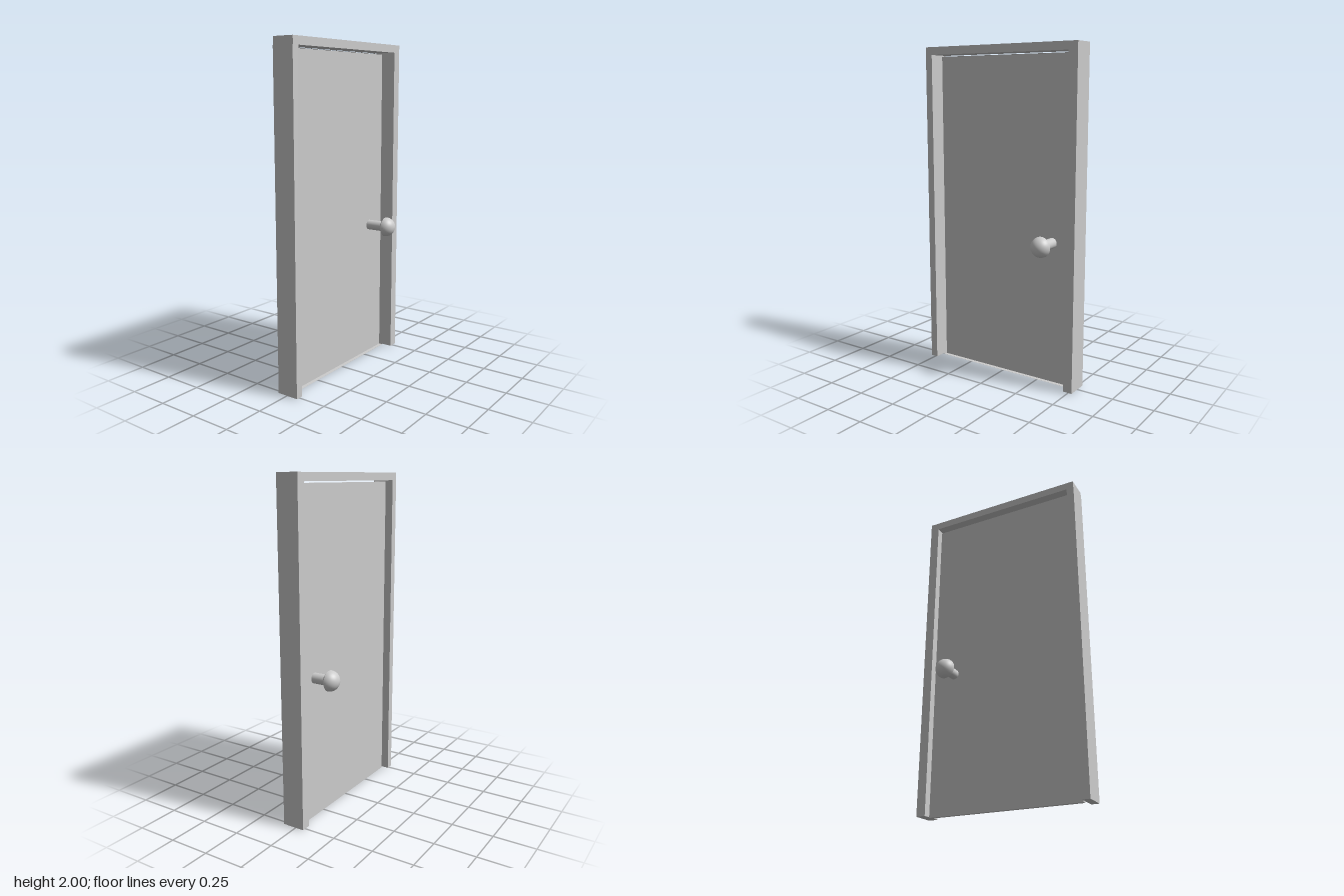
import * as THREE from 'three';

const grey = new THREE.MeshStandardMaterial({ color: 0xcccccc });
const greyOpen = new THREE.MeshStandardMaterial({ color: 0xcccccc, side: THREE.DoubleSide });

// Box spanning the given minimum and maximum corners
function spanBox(min, max) {
  const [w, h, d] = max.map((v, i) => v - min[i]);
  return new THREE.BoxGeometry(w, h, d).translate(
    min[0] + w / 2, min[1] + h / 2, min[2] + d / 2);
}

function part(name, geometry, material = grey) {
  const mesh = new THREE.Mesh(geometry, material);
  mesh.name = name;
  return mesh;
}

// Rounded knob head with a chamfered back, and a stem that reaches the door
function makeKnob(name, side) {
  const group = new THREE.Group();
  group.name = name;
  const radius = 0.061, equator = 0.115, stemRadius = 0.031;

  const profile = [];
  for (let i = 0; i <= 14; i++) {
    const a = (i / 14) * Math.PI / 2;
    profile.push(new THREE.Vector2(radius * Math.cos(a), equator + radius * Math.sin(a)));
  }
  profile[14].x = 0;
  const dome = new THREE.LatheGeometry(profile, 32);
  const chamfer = new THREE.CylinderGeometry(radius, stemRadius, 0.025, 32, 1, true)
    .translate(0, equator - 0.0125, 0);
  const stem = new THREE.CylinderGeometry(stemRadius, stemRadius, 0.102, 32)
    .translate(0, 0.041, 0);

  group.add(part('knobDome', dome), part('knobChamfer', chamfer), part('knobStem', stem));
  group.rotation.z = -side * Math.PI / 2;
  group.position.set(0, 0.86, -0.332);
  return group;
}

export function createModel() {
  const model = new THREE.Group();
  model.name = 'door';

  // Frame: two jambs and a lintel
  const back = -0.057, front = 0.079;
  model.add(
    part('leftJamb', spanBox([back, 0.004, 0.481], [front, 1.953, 0.527])),
    part('rightJamb', spanBox([back, 0.004, -0.527], [front, 1.953, -0.47])),
    part('lintel', spanBox([back, 1.953, -0.527], [front, 2, 0.525])),
  );

  // Door leaf: a shallow tray, open on its +x side
  const leaf = spanBox([-0.012, 0, -0.469], [0.012, 1.944, 0.473]);
  leaf.setIndex(Array.from(leaf.index.array).slice(6));
  leaf.clearGroups();
  model.add(part('doorLeaf', leaf, greyOpen));

  // Knobs on both sides
  model.add(makeKnob('outerKnob', 1), makeKnob('innerKnob', -1));
  return model;
}
